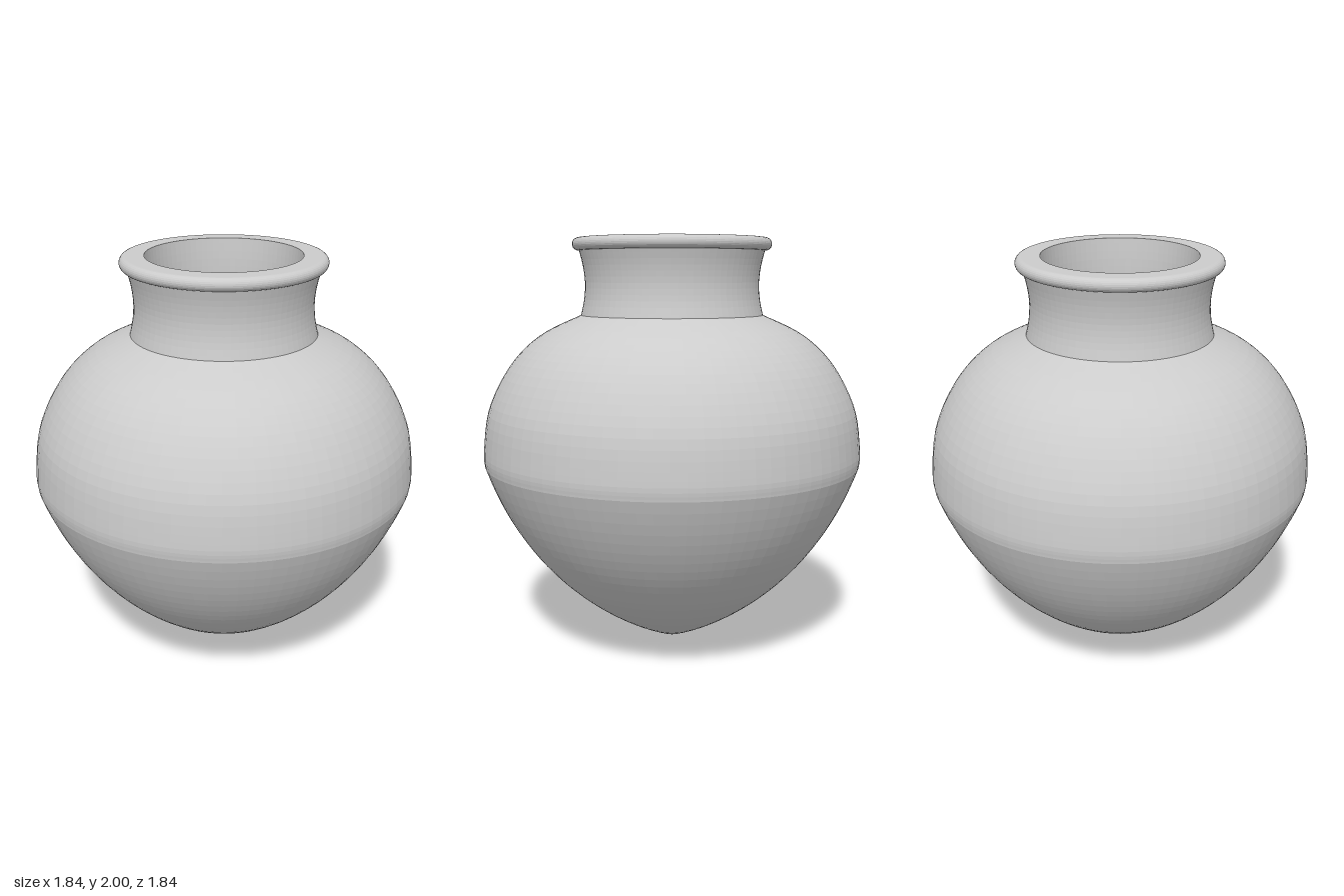
import * as THREE from 'three';

const SEGMENTS = 80;
const v = (x, y) => new THREE.Vector2(x, y);
const spline = (pairs, n) => new THREE.SplineCurve(pairs.map(([x, y]) => v(x, y))).getPoints(n);

export function createModel() {
  const vase = new THREE.Group();
  vase.name = 'vase';
  const material = new THREE.MeshStandardMaterial({ color: 0xcccccc, flatShading: true });

  // Each part is one stretch of the turned profile, outside upwards, inside downwards
  const turn = (name, points) => {
    const mesh = new THREE.Mesh(new THREE.LatheGeometry(points, SEGMENTS), material);
    mesh.name = name;
    vase.add(mesh);
  };

  // Pointed lower body, meeting the shoulder at a soft edge
  turn('lowerBody', new THREE.QuadraticBezierCurve(v(0, 0), v(0.695, 0.265), v(0.915, 0.92)).getPoints(24));

  // Rounded shoulder
  turn('shoulder', spline([
    [0.915, 0.92], [0.918, 1.0], [0.885, 1.2], [0.78, 1.4], [0.635, 1.54], [0.44, 1.635],
  ], 24));

  // Waisted neck
  turn('neck', spline([[0.44, 1.635], [0.424, 1.71], [0.419, 1.79], [0.428, 1.87], [0.445, 1.94]], 12));

  // Rolled rim with a flat top
  const rim = [v(0.445, 1.94)];
  for (let i = 0; i <= 12; i++) {
    const a = -Math.PI / 2 + (Math.PI * i) / 12;
    rim.push(v(0.448 + 0.03 * Math.cos(a), 1.97 + 0.03 * Math.sin(a)));
  }
  rim.push(v(0.363, 2));
  turn('rim', rim);

  // Hollow inside of the neck
  turn('neckInside', spline([[0.363, 2], [0.356, 1.9], [0.354, 1.79], [0.358, 1.7], [0.37, 1.58]], 12));

  // Hollow inside of the body
  turn('shoulderInside', spline([
    [0.37, 1.58], [0.58, 1.47], [0.71, 1.35], [0.81, 1.17], [0.843, 1.0], [0.84, 0.93],
  ], 20));
  turn('lowerBodyInside', new THREE.QuadraticBezierCurve(v(0.84, 0.93), v(0.63, 0.32), v(0, 0.08)).getPoints(24));

  return vase;
}
